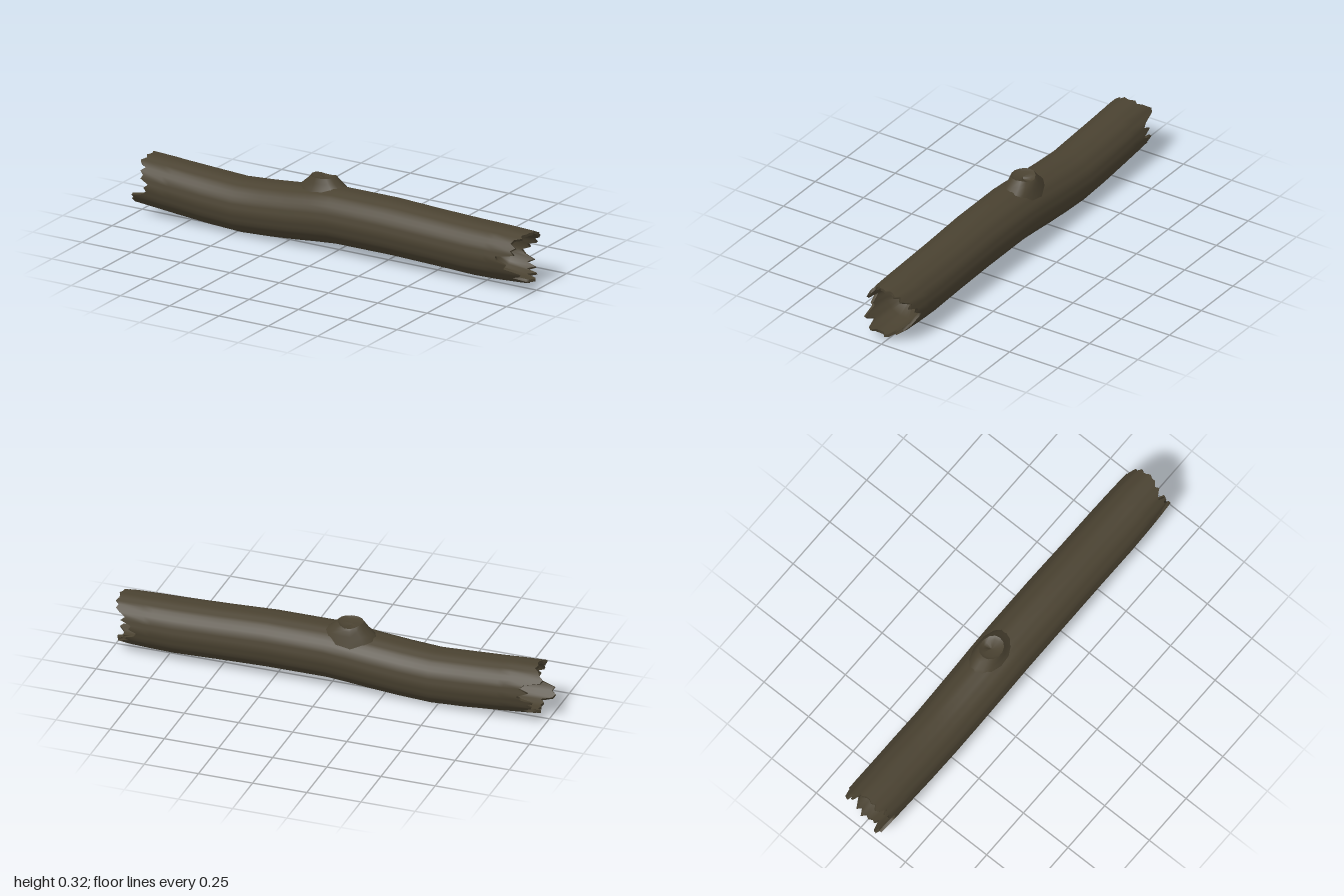
import * as THREE from 'three';

const SEG = 42; // three steps per side of a 14-sided trunk

// Skin between rings of equal length; consecutive rings are joined smoothly.
function loft(rings) {
  const n = rings[0].length;
  const index = [];
  for (let i = 0; i < rings.length - 1; i++) {
    for (let j = 0; j < n; j++) {
      const k = (j + 1) % n;
      const a = i * n + j, b = (i + 1) * n + j, c = i * n + k, d = (i + 1) * n + k;
      index.push(a, b, c, b, d, c);
    }
  }
  const g = new THREE.BufferGeometry();
  g.setAttribute('position', new THREE.Float32BufferAttribute(rings.flat(2), 3));
  g.setIndex(index);
  g.computeVertexNormals();
  return g;
}

// Trunk stations: x, centre height, radius
const trunk = [
  [-1, 0.156, 0.117], [-0.93, 0.155, 0.121], [-0.8, 0.144, 0.122], [-0.64, 0.133, 0.124],
  [-0.48, 0.125, 0.124], [-0.34, 0.133, 0.125], [-0.2, 0.145, 0.126], [-0.1, 0.156, 0.127],
  [0, 0.164, 0.127], [0.28, 0.164, 0.127], [0.5, 0.156, 0.125], [0.7, 0.149, 0.125],
  [0.8, 0.149, 0.123], [0.9, 0.15, 0.12], [1, 0.151, 0.114],
];

function station(x) {
  let i = 0;
  while (i < trunk.length - 2 && x > trunk[i + 1][0]) i++;
  const [a, b] = [trunk[i], trunk[i + 1]];
  const t = (x - a[0]) / (b[0] - a[0]);
  return [a[1] + (b[1] - a[1]) * t, a[2] + (b[2] - a[2]) * t];
}

// One ring around the trunk: angle 0 is the underside, then +z, top, -z.
function ring(xAt, scale = 1) {
  const pts = [];
  const side = Math.PI / 7;
  for (let j = 0; j < SEG; j++) {
    const a = ((j + 1.5) / SEG) * Math.PI * 2;
    const off = (((a - side / 2) % side) + side) % side - side / 2;
    const x = xAt(j);
    const [cy, r] = station(x);
    const rr = r * scale * Math.cos(side / 2) / Math.cos(off);
    pts.push([x, cy - Math.cos(a) * rr, Math.sin(a) * rr]);
  }
  return pts;
}

// Splinter lengths around each broken end, in hundredths
const leftJag = [
  95, 96, 94, 99, 100, 98, 99, 93, 91, 92, 90, 94, 93, 95, 93, 96, 97, 95, 96, 95, 95,
  96, 95, 97, 98, 100, 99, 92, 90, 94, 89, 91, 96, 92, 95, 91, 93, 96, 94, 97, 95, 96];
const rightJag = [
  97, 98, 100, 99, 93, 97, 98, 90, 91, 87, 86, 95, 93, 95, 92, 93, 96, 95, 97, 97, 98,
  97, 97, 98, 96, 97, 95, 92, 94, 89, 90, 86, 88, 93, 90, 95, 91, 97, 93, 98, 99, 97];

export function createModel() {
  const group = new THREE.Group();
  const bark = new THREE.MeshStandardMaterial({ color: 0x4a4231 });
  bark.name = 'bark';
  const add = (name, geometry) => {
    const m = new THREE.Mesh(geometry, bark);
    m.name = name;
    group.add(m);
  };

  const leftEdge = (j) => -leftJag[j] / 100;
  const rightEdge = (j) => rightJag[j] / 100;
  const inner = 0.89;

  // Bent trunk between the two splintered edges
  const middle = trunk.slice(2, -2).map(([x]) => ring(() => x));
  add('trunk', loft([
    ring(leftEdge), ring((j) => -0.84 + (leftEdge(j) + 0.95) * 0.3), ...middle,
    ring((j) => 0.84 + (rightEdge(j) - 0.95) * 0.3), ring(rightEdge),
  ]));

  // Splintered rims and the hollows behind them
  add('leftRim', loft([ring(leftEdge, inner), ring(leftEdge)]));
  add('rightRim', loft([ring(rightEdge), ring(rightEdge, inner)]));
  add('leftHollow', loft([
    ring(() => -0.79, 0.001), ring(() => -0.8, 0.45), ring(() => -0.83, 0.82), ring(leftEdge, inner),
  ]));
  add('rightHollow', loft([
    ring(rightEdge, inner), ring(() => 0.82, 0.82), ring(() => 0.78, 0.45), ring(() => 0.77, 0.001),
  ]));

  // Broken branch stub: height, centre x, half width x, centre z, half width z
  const oval = ([y, cx, rx, cz, rz]) => Array.from({ length: 14 }, (_, j) => {
    const a = (j / 14) * Math.PI * 2;
    const drop = y > 0.305 ? Math.max(0, -Math.sin(a) - 0.6) * 0.035 : 0;
    return [cx + Math.cos(a) * rx, y - drop, cz + Math.sin(a) * rz];
  });
  const lip = [0.325, -0.09, 0.058, -0.018, 0.052];
  add('branchStub', loft([
    [0.2, -0.08, 0.17, -0.01, 0.1], [0.25, -0.082, 0.14, -0.014, 0.08],
    [0.28, -0.085, 0.108, -0.018, 0.067], [0.302, -0.088, 0.08, -0.018, 0.06], lip,
  ].map(oval)));
  add('branchBreak', loft([
    lip, [0.317, -0.09, 0.042, -0.016, 0.038], [0.314, -0.09, 0.0005, -0.016, 0.0005],
  ].map(oval)));

  return group;
}
